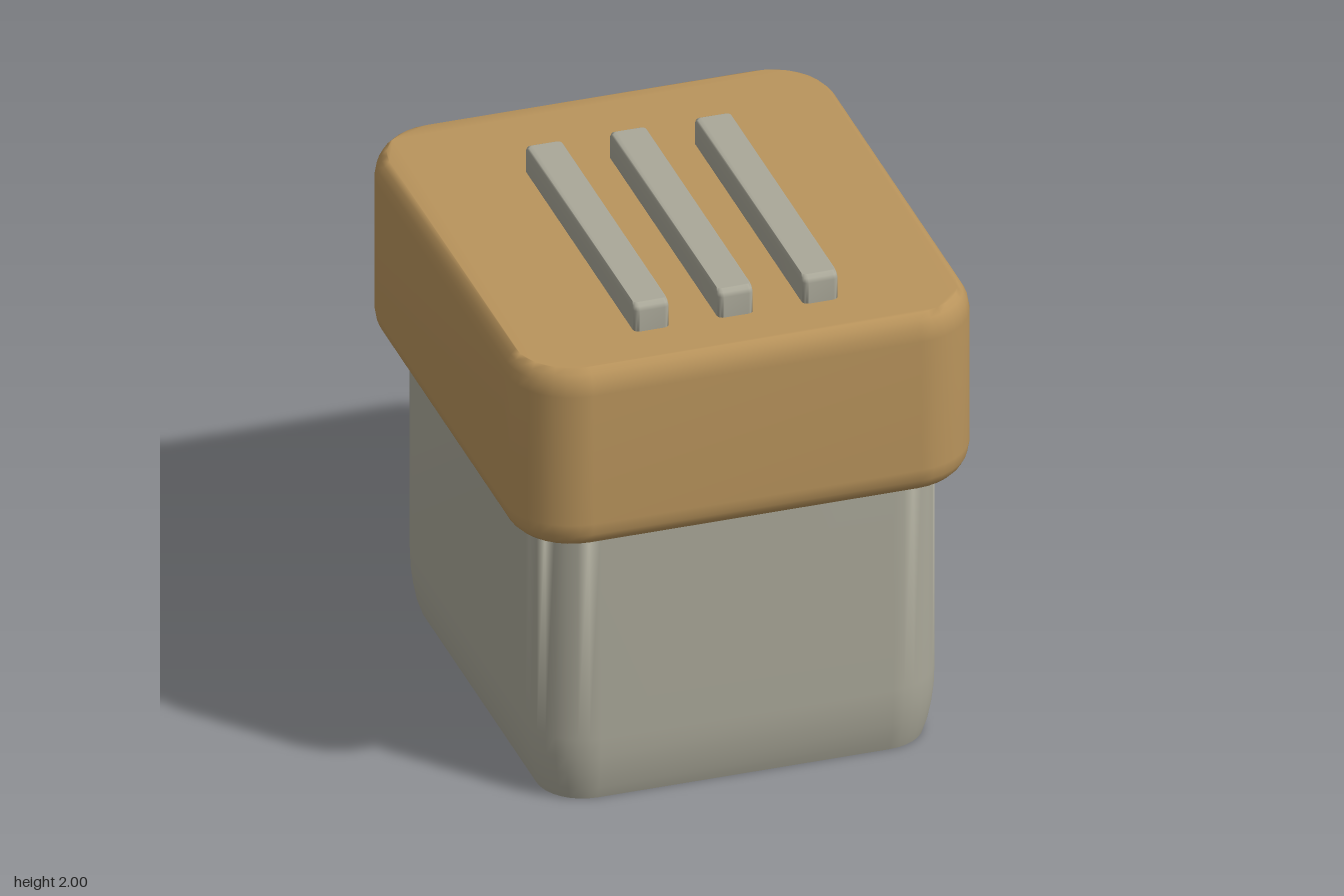
import * as THREE from 'three';

// Outline of a rounded rectangle as [x, z] pairs, without duplicate points
function roundedOutline(hx, hz, r, segments) {
  const points = [];
  const corners = [[1, 1], [-1, 1], [-1, -1], [1, -1]];
  corners.forEach(([sx, sz], c) => {
    for (let i = 0; i <= segments; i++) {
      const a = (c + i / segments) * Math.PI / 2;
      points.push([sx * (hx - r) + r * Math.cos(a), sz * (hz - r) + r * Math.sin(a)]);
    }
  });
  return points;
}

// Closed solid through rounded rectangles; levels are [y, insetX, insetZ], bottom to top
function roundedBlock(hx, hz, r, segments, levels, sharpBottom = false) {
  const positions = [], index = [];
  const n = 4 * (segments + 1);
  const addRing = ([y, ix, iz]) => {
    for (const [x, z] of roundedOutline(hx - ix, hz - iz, r - Math.min(ix, iz), segments)) {
      positions.push(x, y, z);
    }
  };
  levels.forEach(addRing);
  for (let l = 0; l < levels.length - 1; l++) {
    for (let i = 0; i < n; i++) {
      const a = l * n + i, b = l * n + (i + 1) % n;
      index.push(a, a + n, b, b, a + n, b + n);
    }
  }
  // End faces; a sharp bottom gets its own ring
  let bottom = 0;
  if (sharpBottom) {
    bottom = levels.length * n;
    addRing(levels[0]);
  }
  const top = (levels.length - 1) * n;
  const flat = roundedOutline(hx, hz, r, segments).map(([x, z]) => new THREE.Vector2(x, z));
  for (const [a, b, c] of THREE.ShapeUtils.triangulateShape(flat, [])) {
    const p = flat[a], q = flat[b], s = flat[c];
    const ccw = (q.x - p.x) * (s.y - p.y) - (q.y - p.y) * (s.x - p.x) > 0;
    const [u, v] = ccw ? [b, c] : [c, b];
    index.push(bottom + a, bottom + u, bottom + v, top + a, top + v, top + u);
  }
  const geometry = new THREE.BufferGeometry();
  geometry.setAttribute('position', new THREE.Float32BufferAttribute(positions, 3));
  geometry.setIndex(index);
  geometry.computeVertexNormals();
  return geometry;
}

export function createModel() {
  const group = new THREE.Group();
  const grey = new THREE.MeshStandardMaterial({ name: 'warm grey', color: 0xaaa899 });
  const tan = new THREE.MeshStandardMaterial({ name: 'tan', color: 0xb9945c });

  const add = (name, geometry, material) => {
    const mesh = new THREE.Mesh(geometry, material);
    mesh.name = name;
    group.add(mesh);
    return mesh;
  };

  // Lower body, tapering softly to its flat base
  add('body', roundedBlock(0.785, 0.873, 0.22, 8, [
    [0, 0.043, 0.043], [0.05, 0.026, 0.026], [0.12, 0.012, 0.012],
    [0.19, 0.003, 0.003], [0.27, 0, 0], [1.2, 0, 0],
  ], true), grey);

  // Overhanging lid with soft upper and lower rims
  add('lid', roundedBlock(0.893, 0.99, 0.26, 8, [
    [1.15, 0.045, 0.045], [1.17, 0.025, 0.025], [1.2, 0.009, 0.009], [1.25, 0, 0],
    [1.79, 0, 0], [1.84, 0.009, 0.009], [1.87, 0.025, 0.025], [1.89, 0.045, 0.045],
  ]), tan);

  // Three raised ribs, set a little toward the front
  for (const [i, x] of [-0.328, -0.003, 0.325].entries()) {
    const rib = add(`rib${i + 1}`, roundedBlock(0.069, 0.638, 0.022, 4, [
      [1.86, 0, 0], [1.975, 0, 0], [1.99, 0.002, 0.009], [2, 0.005, 0.026],
    ]), grey);
    rib.position.set(x, 0, 0.117);
  }
  return group;
}
